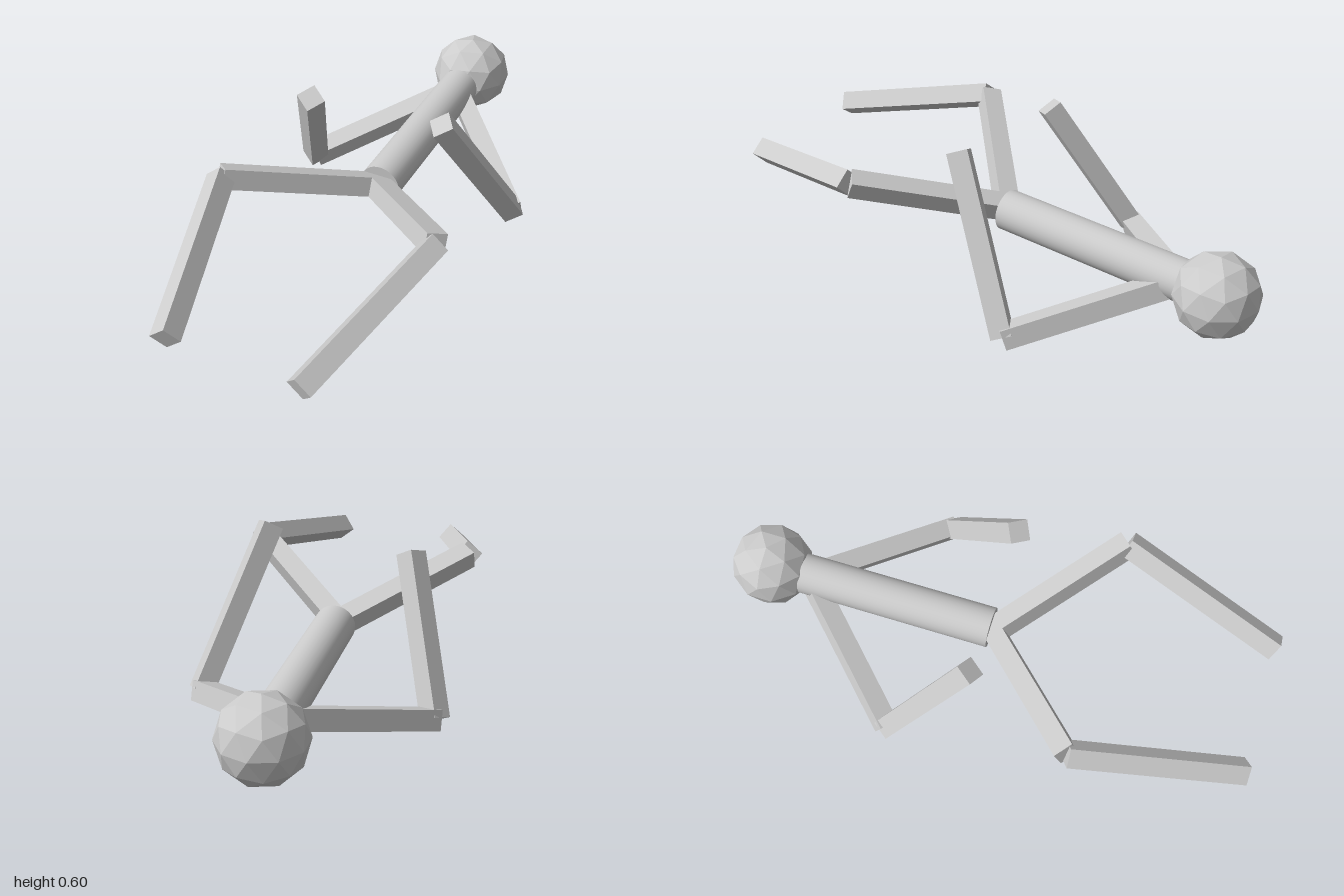
import * as THREE from 'three';

const V = (x, y, z) => new THREE.Vector3(x, y, z);
const smooth = new THREE.MeshStandardMaterial({ color: 0xcccccc });
const faceted = new THREE.MeshStandardMaterial({ color: 0xcccccc, flatShading: true });
const THICK = 0.072;

// Square bar between two joints; hint sets the direction of one side face
function bar(name, from, to, hint) {
  const dir = to.clone().sub(from);
  const length = dir.length();
  dir.normalize();
  const side = hint.clone().addScaledVector(dir, -hint.dot(dir)).normalize();
  const other = V(0, 0, 0).crossVectors(side, dir);
  const mesh = new THREE.Mesh(new THREE.BoxGeometry(THICK, length, THICK), faceted);
  mesh.name = name;
  mesh.quaternion.setFromRotationMatrix(new THREE.Matrix4().makeBasis(side, dir, other));
  mesh.position.copy(from).lerp(to, 0.5);
  return mesh;
}

// Upper segments keep one side face parallel to the x axis
function upperBar(name, from, to) {
  return bar(name, from, to, V(1, 0, 0).cross(to.clone().sub(from)));
}

export function createModel() {
  const model = new THREE.Group();
  model.name = 'recliningFigure';

  // Torso lying along z
  const torso = new THREE.Mesh(new THREE.CylinderGeometry(0.074, 0.074, 0.73, 32), smooth);
  torso.name = 'torso';
  torso.rotation.x = -Math.PI / 2;
  torso.position.set(0.01, 0.223, -0.375);
  model.add(torso);

  // Faceted head with a corner pointing straight up
  const headGeometry = new THREE.IcosahedronGeometry(0.149, 1);
  headGeometry.rotateZ(Math.atan(2 / (1 + Math.sqrt(5))));
  const head = new THREE.Mesh(headGeometry, faceted);
  head.name = 'head';
  head.position.set(0.01, 0.223, -0.851);
  model.add(head);

  // Arms and legs; the two forearms are raised to different heights
  const arms = {
    left: { elbow: V(0.42, 0.046, -0.29), wrist: V(0.25, 0.572, 0.015) },
    right: { elbow: V(-0.408, 0.044, -0.283), wrist: V(-0.257, 0.52, 0) },
  };
  for (const [side, s] of [['left', 1], ['right', -1]]) {
    const { elbow, wrist } = arms[side];
    const arm = new THREE.Group();
    arm.name = side + 'Arm';
    arm.add(
      upperBar('upperArm', V(0.01, 0.215, -0.71), elbow),
      bar('forearm', elbow, wrist, V(-0.56 * s, 0.28, -0.77)),
    );

    const knee = V(0.4 * s, 0.385, 0.38);
    const leg = new THREE.Group();
    leg.name = side + 'Leg';
    leg.add(
      upperBar('thigh', V(0, 0.225, 0), knee),
      bar('shin', knee, V(0.236 * s, 0.225, 0.987), V(-0.78 * s, 0.63, 0)),
    );
    model.add(arm, leg);
  }
  return model;
}
